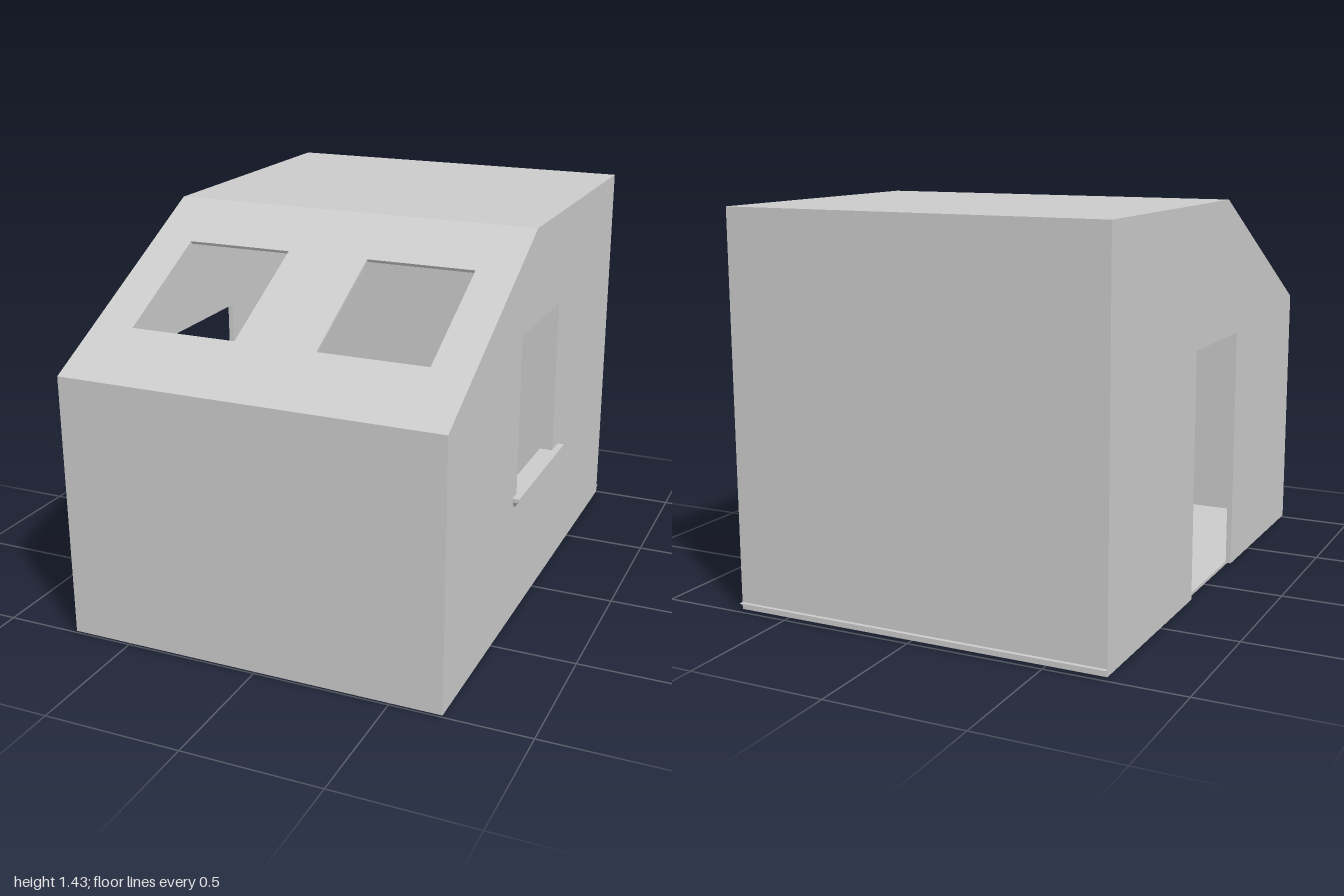
import * as THREE from 'three';

const X0 = -0.72, X1 = 0.69, T = 0.02;        // outer side faces, wall thickness
const FRONT = 1, BACK = -0.985, BASE = 0.007;
const EAVE = 0.98, TOP = 1.435, RIDGE = 0.12; // slope runs from the front eave to the ridge
const material = new THREE.MeshStandardMaterial({ color: 0xcccccc, side: THREE.DoubleSide });

function addMesh(parent, name, geometry) {
  const mesh = new THREE.Mesh(geometry, material);
  mesh.name = name;
  parent.add(mesh);
  return mesh;
}

// Box given by its lower and upper corners
function box(parent, name, [ax, ay, az], [bx, by, bz]) {
  const g = new THREE.BoxGeometry(bx - ax, by - ay, bz - az);
  g.translate((ax + bx) / 2, (ay + by) / 2, (az + bz) / 2);
  return addMesh(parent, name, g);
}

function polygon(points, Type = THREE.Shape) {
  return new Type(points.map(([x, y]) => new THREE.Vector2(x, y)));
}
const rectHole = (a, b, c, d) => polygon([[a, c], [a, d], [b, d], [b, c]], THREE.Path);

// Wall drawn in (z, y) and extruded towards -x from the plane x
function sideWall(parent, name, shape, x) {
  const g = new THREE.ExtrudeGeometry(shape, { depth: T, bevelEnabled: false });
  g.rotateY(-Math.PI / 2);
  g.translate(x, 0, 0);
  addMesh(parent, name, g);
}

export function createModel() {
  const house = new THREE.Group();
  house.name = 'house';
  const upper = [[FRONT, BASE], [FRONT, EAVE], [RIDGE, TOP], [BACK, TOP], [BACK, BASE]];

  // Wall with the window
  const windowWall = polygon(upper);
  windowWall.holes.push(rectHole(-0.2, 0.26, 0.49, 1.085));
  sideWall(house, 'windowWall', windowWall, X1);

  // Wall with the doorway, open to the ground
  const doorWall = polygon([...upper, [-0.2, BASE], [-0.2, 0.925], [0.26, 0.925], [0.26, BASE]]);
  sideWall(house, 'doorWall', doorWall, X0 + T);

  // Front and back walls, flat roof and floor fit between the side walls
  const a = X0 + T, b = X1 - T;
  box(house, 'frontWall', [a, BASE, FRONT - T], [b, EAVE, FRONT]);
  box(house, 'backWall', [a, BASE, BACK], [b, TOP, BACK + T]);
  box(house, 'flatRoof', [a, TOP - T, BACK], [b, TOP, RIDGE]);
  box(house, 'floor', [a, 0, BACK + T], [b, 0.012, FRONT - T]);
  box(house, 'backBaseStrip', [X0, 0.03, -1], [X1, 0.033, BACK]);

  // Sloping roof with two skylights
  const run = FRONT - RIDGE, rise = TOP - EAVE, length = Math.hypot(run, rise);
  const along = z => (FRONT - z) / run * length;
  const slope = polygon([[a, 0], [b, 0], [b, length], [a, length]]);
  for (const [l, r] of [[-0.565, -0.165], [0.14, 0.54]])
    slope.holes.push(rectHole(l, r, along(0.76), along(0.34)));
  const slopeGeometry = new THREE.ExtrudeGeometry(slope, { depth: 0.012, bevelEnabled: false });
  slopeGeometry.translate(0, 0, -0.012);
  const roof = addMesh(house, 'slopingRoof', slopeGeometry);
  roof.rotation.x = -Math.atan2(run, rise);
  roof.position.set(0, EAVE, FRONT);

  // Window sill: flat board over a moulding that tapers to the wall
  const sill = new THREE.Group();
  sill.name = 'windowSill';
  house.add(sill);
  box(sill, 'sillBoard', [X1, 0.48, -0.275], [0.716, 0.494, 0.31]);
  box(sill, 'innerSill', [X1 - 0.05, 0.48, -0.2], [X1, 0.492, 0.26]);
  const moulding = box(sill, 'sillMoulding', [X1, 0.455, -0.27], [0.712, 0.48, 0.305]).geometry;
  const p = moulding.attributes.position;
  for (let i = 0; i < p.count; i++) {
    if (p.getY(i) > 0.47) continue;
    p.setX(i, p.getX(i) > 0.7 ? 0.695 : X1);
    p.setZ(i, p.getZ(i) > 0 ? 0.29 : -0.255);
  }
  moulding.computeVertexNormals();

  return house;
}
